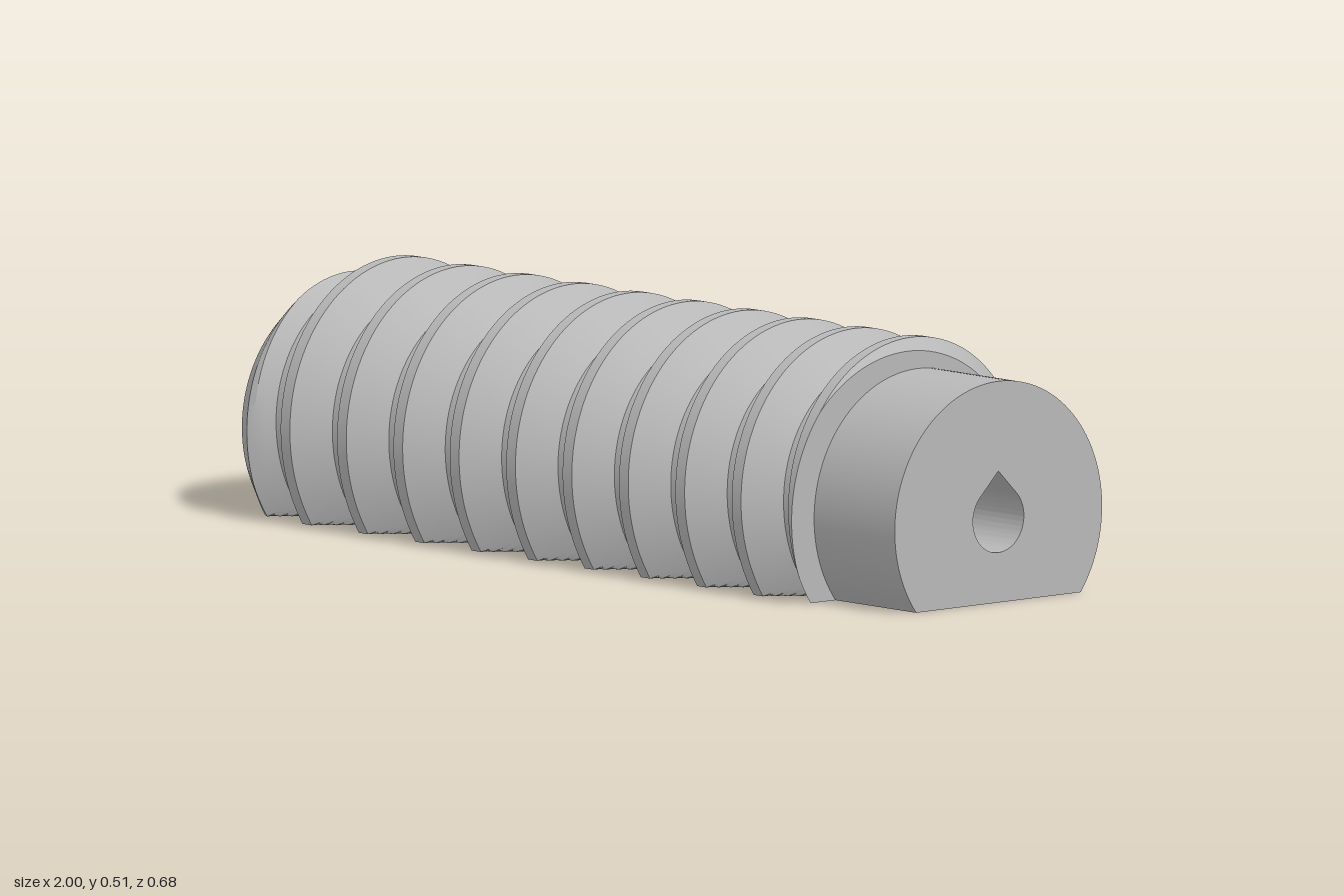
import * as THREE from 'three';
import { toCreasedNormals } from 'three/addons/utils/BufferGeometryUtils.js';

const AXIS = 0.171;            // height of the screw axis above the flat underside
const ROOT = 0.281, CREST = 0.342;
const PITCH = 0.1712, FIRST_CREST = -0.824, CREST_HALF = 0.014;
const LEFT = -1, SHOULDER = 0.755, RIGHT = 1;
const FOOT = CREST_HALF + CREST - ROOT;   // 45 degree flanks

// Thread radius at x for a given turn angle, with the lead-in chamfer
function threadRadius(x, angle) {
  const u = (x - FIRST_CREST) / PITCH - angle / (2 * Math.PI);
  const d = Math.abs(u - Math.round(u)) * PITCH;
  const r = THREE.MathUtils.clamp(CREST - (d - CREST_HALF), ROOT, CREST);
  return Math.min(r, 0.265 + 0.72 * (x - LEFT));
}

// Point on the screw, cut off by the flat underside
function screwPoint(x, r, angle) {
  const c = Math.cos(angle);
  if (c < 0) r = Math.min(r, AXIS / -c);
  return new THREE.Vector3(x, AXIS + r * c, r * Math.sin(angle));
}

function threadGeometry() {
  // Turn angles, finer where the thread meets the flat
  const half = [];
  for (let d = 0; d < 117; d += 3) half.push(d);
  for (let d = 117; d < 129; d += 0.5) half.push(d);
  for (let d = 129; d <= 180; d += 8.5) half.push(d);
  const angles = [...half.slice(1).reverse().map((d) => -d), ...half].map(THREE.MathUtils.degToRad);

  // Stations along one pitch that follow the helix
  const offsets = [];
  for (let i = 0; i < 5; i++) offsets.push(THREE.MathUtils.lerp(-FOOT, -CREST_HALF, i / 4));
  for (let i = 0; i < 5; i++) offsets.push(THREE.MathUtils.lerp(CREST_HALF, FOOT, i / 4));

  const rows = angles.map((a) => {
    const row = [screwPoint(LEFT, 0, a)];                  // left end face
    for (let k = -2; k <= 10; k++) {
      for (const o of offsets) {
        const x = FIRST_CREST + PITCH * (k + a / (2 * Math.PI)) + o;
        const cx = THREE.MathUtils.clamp(x, LEFT, SHOULDER);
        row.push(screwPoint(cx, threadRadius(cx, a), a));
      }
    }
    row.push(screwPoint(SHOULDER, ROOT - 0.01, a));        // shoulder ring
    return row;
  });

  const positions = [];
  const tri = new THREE.Triangle();
  const add = (a, b, c) => {
    if (tri.set(a, b, c).getArea() < 1e-9) return;
    for (const p of [a, b, c]) positions.push(p.x, p.y, p.z);
  };
  for (let i = 0; i < rows.length - 1; i++) {
    for (let j = 0; j < rows[i].length - 1; j++) {
      const a = rows[i][j], b = rows[i + 1][j], c = rows[i + 1][j + 1], d = rows[i][j + 1];
      add(a, b, d);
      add(b, c, d);
    }
  }
  const g = new THREE.BufferGeometry();
  g.setAttribute('position', new THREE.Float32BufferAttribute(positions, 3));
  return toCreasedNormals(g, 0.45);
}

// Round section with a flat underside
function clippedDisc(r) {
  const a = Math.asin(Math.min(1, AXIS / r));
  const s = new THREE.Shape();
  s.absarc(0, AXIS, r, -a, Math.PI + a, false);
  s.closePath();
  return s;
}

// Teardrop outline with a 45 degree roof
function teardrop(r) {
  const p = new THREE.Path();
  p.absarc(0, AXIS, r, Math.PI * 0.75, Math.PI * 2.25, false);
  p.lineTo(0, AXIS + r * Math.SQRT2);
  p.closePath();
  return p;
}

// Extrude a section along x between two stations
function alongX(shape, from, to) {
  const g = new THREE.ExtrudeGeometry(shape, { depth: to - from, bevelEnabled: false, curveSegments: 48 });
  g.rotateY(Math.PI / 2);
  g.translate(from, 0, 0);
  return toCreasedNormals(g, 0.45);
}

export function createModel() {
  const group = new THREE.Group();
  group.name = 'flatBottomedScrew';
  const grey = new THREE.MeshStandardMaterial({ color: 0xb8b8b8 });
  grey.name = 'grey';
  const add = (name, geometry) => {
    const mesh = new THREE.Mesh(geometry, grey);
    mesh.name = name;
    group.add(mesh);
  };

  add('thread', threadGeometry());

  // Plain shaft with the wide mouth of the bore
  const shaft = clippedDisc(ROOT);
  shaft.holes.push(teardrop(0.069));
  add('shaft', alongX(shaft, SHOULDER, RIGHT));

  // Narrower blind bore behind the mouth
  const core = clippedDisc(0.15);
  core.holes.push(teardrop(0.045));
  add('boreWall', alongX(core, 0.3, SHOULDER));
  add('boreFloor', alongX(clippedDisc(0.15), 0.28, 0.3));

  return group;
}
